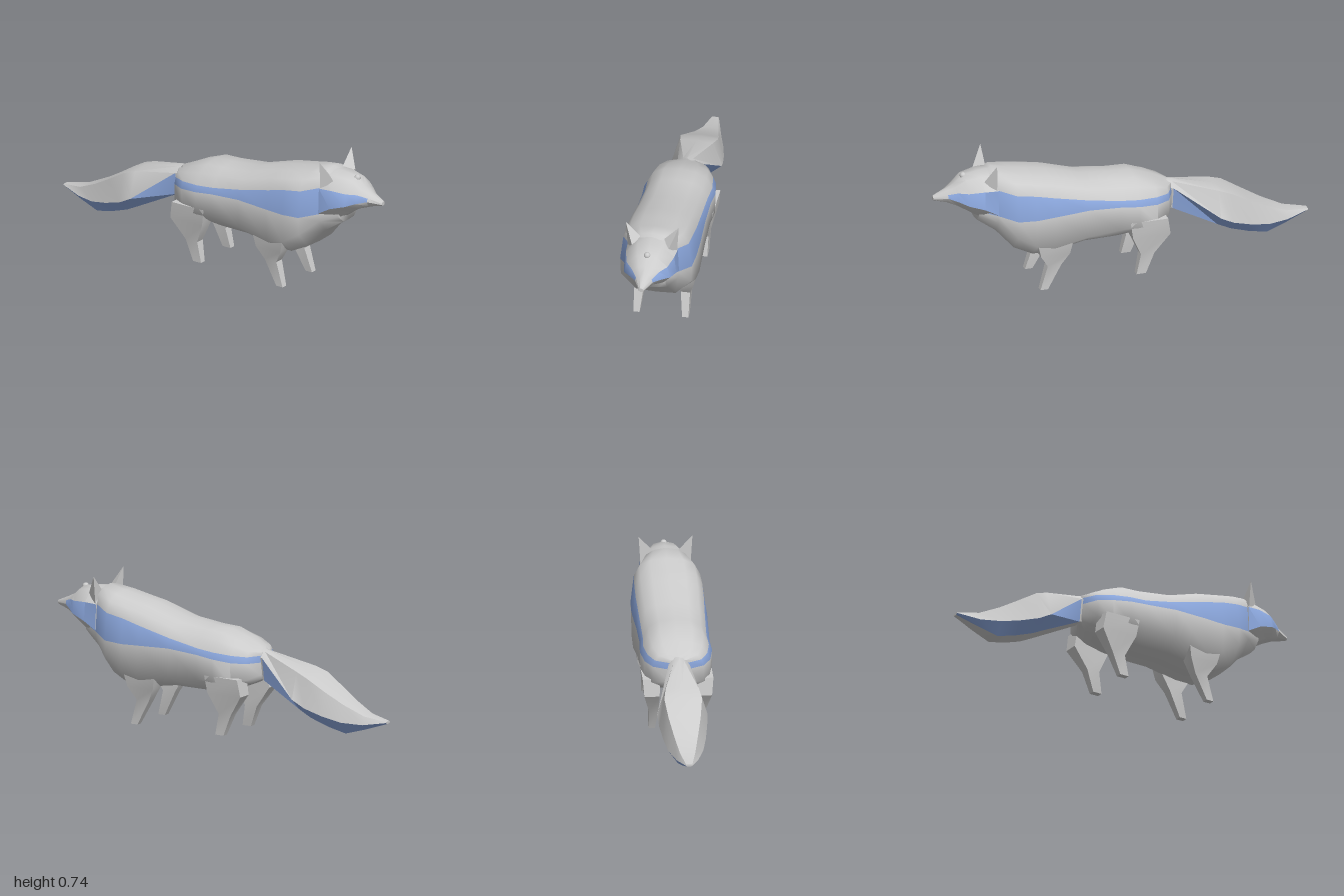
import * as THREE from 'three';
import { toCreasedNormals } from 'three/addons/utils/BufferGeometryUtils.js';
import { ConvexGeometry } from 'three/addons/geometries/ConvexGeometry.js';

const fur = new THREE.MeshStandardMaterial({ color: 0xcccccc });
fur.name = 'greyFur';
const stripe = new THREE.MeshStandardMaterial({ color: 0x8ca8de });
stripe.name = 'blueStripe';

// Skins closed rings of [x, y, z]; isStripe(row, column) picks the blue faces.
function loft(name, rings, crease, isStripe = () => false) {
  const n = rings[0].length;
  const pos = rings.flat(2);
  const grey = [], blue = [];
  for (let i = 0; i < rings.length - 1; i++) {
    for (let j = 0; j < n; j++) {
      const k = (j + 1) % n;
      const a = i * n + j, b = i * n + k, c = b + n, d = a + n;
      (isStripe(i, j) ? blue : grey).push(a, b, c, a, c, d);
    }
  }
  // End caps fan out from the ring centres
  [0, rings.length - 1].forEach((r, end) => {
    const centre = pos.length / 3;
    for (let q = 0; q < 3; q++) pos.push(rings[r].reduce((s, p) => s + p[q], 0) / n);
    for (let j = 0; j < n; j++) {
      const a = r * n + j, b = r * n + (j + 1) % n;
      grey.push(centre, end ? a : b, end ? b : a);
    }
  });
  const g = new THREE.BufferGeometry();
  g.setAttribute('position', new THREE.Float32BufferAttribute(pos, 3));
  g.setIndex([...grey, ...blue]);
  g.addGroup(0, grey.length, 0);
  g.addGroup(grey.length, blue.length, 1);
  const mesh = new THREE.Mesh(toCreasedNormals(g, crease), [fur, stripe]);
  mesh.name = name;
  return mesh;
}

// Completes a half outline (top centre, down the left side, bottom centre)
const mirrorRing = (z, half) => [
  ...half.map(([x, y]) => [x, y, z]),
  ...half.slice(1, -1).reverse().map(([x, y]) => [-x, y, z]),
];

// Band `col` of a half outline with `count` points, on either side
const isBand = (j, col, count) => j === col || j === 2 * (count - 1) - 1 - col;

function makeBody() {
  // z, back height, stripe top, stripe bottom, flank, belly, half width
  const rows = [
    [0.78, 0.62, 0.56, 0.47, 0.44, 0.40, 0.085],
    [0.69, 0.675, 0.59, 0.45, 0.41, 0.34, 0.133],
    [0.60, 0.655, 0.565, 0.425, 0.33, 0.24, 0.185],
    [0.50, 0.635, 0.55, 0.42, 0.27, 0.19, 0.19],
    [0.40, 0.617, 0.525, 0.425, 0.25, 0.19, 0.19],
    [0.22, 0.563, 0.482, 0.432, 0.28, 0.22, 0.183],
    [0.05, 0.545, 0.45, 0.42, 0.29, 0.22, 0.178],
    [-0.05, 0.54, 0.442, 0.41, 0.29, 0.23, 0.184],
    [-0.15, 0.505, 0.435, 0.40, 0.29, 0.25, 0.167],
    [-0.22, 0.472, 0.43, 0.397, 0.31, 0.28, 0.13],
    [-0.26, 0.455, 0.43, 0.395, 0.33, 0.305, 0.05],
  ];
  const rings = rows.map(([z, top, st, sb, flank, belly, w]) => mirrorRing(z, [
    [0, top], [0.45 * w, top - 0.01], [0.75 * w, top - 0.4 * (top - st)],
    [0.91 * w, st], [w, sb], [0.98 * w, flank], [0.55 * w, belly + 0.005], [0, belly],
  ]));
  return loft('body', rings, 1.0, (i, j) => isBand(j, 3, 8));
}

function makeHead() {
  // z, then crown, brow, cheek top, cheek bottom, jaw and chin
  const rows = [
    [1.0, [0, 0.55], [0.006, 0.55], [0.012, 0.543], [0.012, 0.535], [0.006, 0.53], [0, 0.53]],
    [0.93, [0, 0.582], [0.018, 0.578], [0.04, 0.563], [0.046, 0.545], [0.03, 0.518], [0, 0.508]],
    [0.885, [0, 0.607], [0.035, 0.6], [0.07, 0.58], [0.082, 0.535], [0.045, 0.5], [0, 0.495]],
    [0.84, [0, 0.65], [0.05, 0.638], [0.105, 0.585], [0.118, 0.52], [0.06, 0.475], [0, 0.475]],
    [0.76, [0, 0.66], [0.065, 0.65], [0.125, 0.592], [0.135, 0.495], [0.07, 0.425], [0, 0.41]],
    [0.69, [0, 0.665], [0.07, 0.65], [0.13, 0.59], [0.136, 0.455], [0.075, 0.42], [0, 0.40]],
  ];
  const rings = rows.map(([z, ...half]) => mirrorRing(z, half));
  return loft('head', rings, 0.7, (i, j) => i >= 1 && isBand(j, 2, 6));
}

function makeTail() {
  // z, ridge height, top edge x y, side edge x y, underside x y
  const rows = [
    [-0.22, 0.465, 0.02, 0.46, 0.045, 0.43, 0.03, 0.32],
    [-0.27, 0.455, 0.025, 0.447, 0.055, 0.42, 0.035, 0.30],
    [-0.50, 0.392, 0.085, 0.385, 0.128, 0.247, 0.06, 0.185],
    [-0.57, 0.368, 0.096, 0.36, 0.122, 0.21, 0.06, 0.15],
    [-0.67, 0.305, 0.082, 0.30, 0.108, 0.178, 0.052, 0.115],
    [-0.77, 0.248, 0.062, 0.243, 0.088, 0.155, 0.042, 0.09],
    [-0.88, 0.197, 0.04, 0.193, 0.055, 0.15, 0.028, 0.122],
    [-1.0, 0.175, 0.016, 0.174, 0.02, 0.17, 0.01, 0.163],
  ];
  const rings = rows.map(([z, top, ex, ey, sx, sy, ux, uy]) => mirrorRing(z, [
    [0, top], [ex, ey], [sx, sy], [ux, uy], [0, uy],
  ]));
  return loft('tail', rings, 0.6, (i, j) => i >= 1 && isBand(j, 2, 5));
}

// Rows run downwards: y, inner x, outer x, back z, front z
function makeLeg(name, rows, side) {
  const rings = rows.map(([y, a, b, z0, z1]) => {
    const [x0, x1] = side > 0 ? [a, b] : [-b, -a];
    return [[x0, y, z0], [x1, y, z0], [x1, y, z1], [x0, y, z1]];
  });
  return loft(name, rings, 0.6);
}

function makeEar(name, side) {
  const points = [
    [0.137, 0.735, 0.70], [0.058, 0.65, 0.70], [0.127, 0.58, 0.695], [0.095, 0.635, 0.755],
  ].map(([x, y, z]) => new THREE.Vector3(side * x, y, z));
  const ear = new THREE.Mesh(new ConvexGeometry(points), fur);
  ear.name = name;
  return ear;
}

export function createModel() {
  const model = new THREE.Group();
  model.name = 'fox';
  model.add(makeBody(), makeHead(), makeTail());

  const frontRows = [
    [0.30, 0.09, 0.18, 0.30, 0.50], [0.20, 0.098, 0.168, 0.32, 0.475],
    [0.13, 0.096, 0.144, 0.36, 0.432], [0, 0.11, 0.142, 0.43, 0.47],
  ];
  const hindRows = [
    [0.32, 0.09, 0.18, -0.20, 0], [0.23, 0.095, 0.172, -0.215, -0.015],
    [0.12, 0.096, 0.144, -0.138, -0.066], [0.01, 0.11, 0.142, -0.093, -0.043],
  ];
  for (const [label, side] of [['left', 1], ['right', -1]]) {
    model.add(
      makeLeg(label + 'FrontLeg', frontRows, side),
      makeLeg(label + 'HindLeg', hindRows, side),
      makeEar(label + 'Ear', side),
    );
  }

  // Small round bump on the forehead
  const bump = new THREE.Mesh(new THREE.SphereGeometry(0.017, 12, 8), fur);
  bump.name = 'foreheadBump';
  bump.position.set(0, 0.643, 0.838);
  model.add(bump);
  return model;
}
